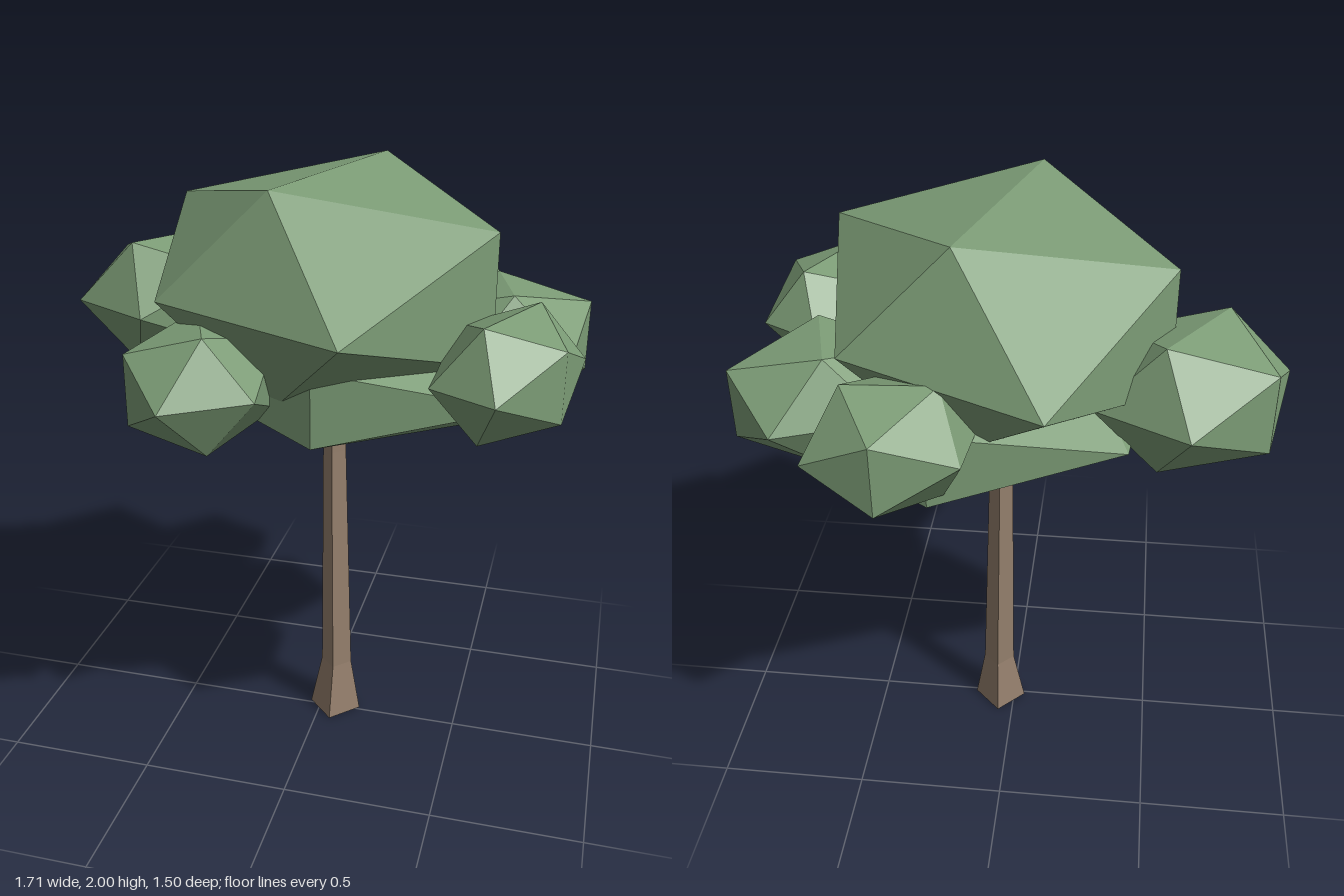
import * as THREE from 'three';
import { ConvexGeometry } from 'three/addons/geometries/ConvexGeometry.js';

const PHI = (1 + Math.sqrt(5)) / 2;

const leafGreen = new THREE.MeshStandardMaterial({ color: 0x7c9c76, flatShading: true });
const barkBrown = new THREE.MeshStandardMaterial({ color: 0x947f6c, flatShading: true });

// Stretched icosahedron standing on an edge, symmetric through its centre.
// top, side and the two mids are [x, z] offsets; rise is half its height.
function leafClump(name, centre, rise, top, side, midA, midB) {
  const low = rise / PHI;
  const half = [
    [top[0], rise, top[1]], [-top[0], rise, -top[1]],
    [side[0], low, side[1]], [-side[0], low, -side[1]],
    [midA[0], 0, midA[1]], [midB[0], 0, midB[1]],
  ];
  const points = half.flatMap(([x, y, z]) => [new THREE.Vector3(x, y, z), new THREE.Vector3(-x, -y, -z)]);
  const mesh = new THREE.Mesh(new ConvexGeometry(points), leafGreen);
  mesh.name = name;
  mesh.position.set(...centre);
  return mesh;
}

// Regular clump: everything follows from two horizontal axes u and v.
function regularClump(name, centre, rise, u, v) {
  const mix = (a, b) => [u[0] * a + v[0] * b, u[1] * a + v[1] * b];
  return leafClump(name, centre, rise, u, mix(0, PHI), mix(PHI, 1), mix(PHI, -1));
}

// Four-sided trunk; each ring is [y, radius, centre x, centre z], top first.
function makeTrunk() {
  const rings = [
    [1.27, 0.029, 0.048, -0.02],
    [1.05, 0.04, 0.042, -0.022],
    [0.2, 0.055, 0.056, -0.015],
    [0, 0.093, 0.053, -0.012],
  ];
  const geometry = new THREE.CylinderGeometry(1, 1, 3, 4, 3);
  const p = geometry.attributes.position;
  for (let i = 0; i < p.count; i++) {
    const [y, r, cx, cz] = rings[Math.round(1.5 - p.getY(i))];
    p.setXYZ(i, cx + p.getX(i) * r, y, cz + p.getZ(i) * r);
  }
  const flat = geometry.toNonIndexed();
  flat.computeVertexNormals();
  const mesh = new THREE.Mesh(flat, barkBrown);
  mesh.name = 'trunk';
  return mesh;
}

export function createModel() {
  const tree = new THREE.Group();
  tree.name = 'tree';
  tree.add(makeTrunk());

  // Large crown and the flat clump beneath it
  tree.add(leafClump('crown', [0.04, 1.67, 0.02], 0.33,
    [0.0975, -0.357], [0.535, 0.158], [0.432, -0.415], [-0.193, -0.713]));
  tree.add(regularClump('lowerCanopy', [0.145, 1.39, -0.03], 0.195, [0.345, 0.02], [-0.034, 0.315]));

  // Small clumps around the rim
  const rim = [
    ['rightClump', [-0.563, 1.505, -0.18], 0.21, [-0.096, 0.142], [-0.143, -0.078]],
    ['frontClump', [-0.245, 1.445, 0.46], 0.18, [0.053, 0.13], [-0.118, 0.078]],
    ['leftFrontClump', [0.64, 1.498, 0.305], 0.175, [-0.066, 0.146], [0.1, 0.055]],
    ['leftBackClump', [0.57, 1.435, -0.185], 0.19, [-0.04, -0.14], [0.167, -0.067]],
    ['backClump', [0.288, 1.492, -0.535], 0.183, [0.138, -0.01], [0.012, -0.133]],
  ];
  for (const clump of rim) tree.add(regularClump(...clump));
  return tree;
}
